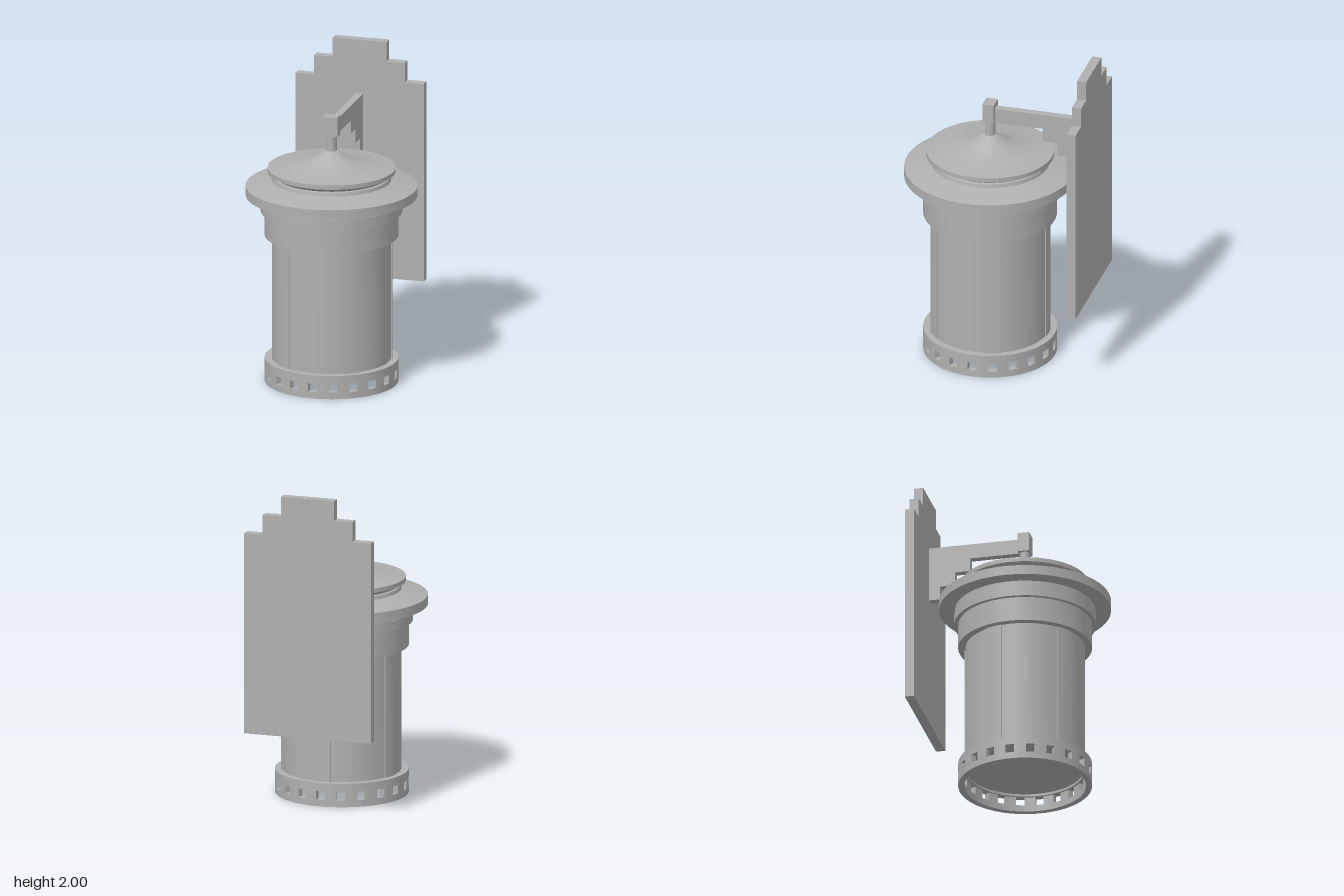
import * as THREE from 'three';
import { toCreasedNormals } from 'three/addons/utils/BufferGeometryUtils.js';

const AXIS_Z = 0.066; // lantern axis, in front of the wall plate
const SIDES = 64;
const rad = THREE.MathUtils.degToRad;

export function createModel() {
  const model = new THREE.Group();
  model.name = 'wallLantern';
  const metal = new THREE.MeshStandardMaterial({ color: 0xb0b0b0 });
  metal.name = 'greyMetal';

  const lantern = new THREE.Group();
  lantern.name = 'lantern';
  lantern.position.z = AXIS_Z;
  model.add(lantern);

  function add(name, geometry, parent = lantern) {
    const mesh = new THREE.Mesh(geometry, metal);
    mesh.name = name;
    parent.add(mesh);
    return mesh;
  }

  // Turned part: [radius, height] points, going up the outside
  function turned(name, points) {
    const profile = points.map(([r, y]) => new THREE.Vector2(r, y));
    return add(name, toCreasedNormals(new THREE.LatheGeometry(profile, SIDES), rad(25)));
  }

  // Closed ring with a rectangular section
  function ring(name, r0, r1, y0, y1) {
    return turned(name, [[r0, y0], [r1, y0], [r1, y1], [r0, y1], [r0, y0]]);
  }

  // Curved block centred on an azimuth measured from the front
  function curvedBlock(name, r0, r1, y0, y1, azimuth, halfAngle) {
    const a0 = rad(azimuth - halfAngle - 90);
    const a1 = rad(azimuth + halfAngle - 90);
    const shape = new THREE.Shape();
    shape.absarc(0, 0, r1, a0, a1, false);
    shape.absarc(0, 0, r0, a1, a0, true);
    const geometry = new THREE.ExtrudeGeometry(shape, { depth: y1 - y0, bevelEnabled: false, curveSegments: 4 });
    geometry.rotateX(-Math.PI / 2).translate(0, y0, 0);
    return add(name, toCreasedNormals(geometry, rad(25)));
  }

  // Outline extruded symmetrically about its own plane
  function slab(points, depth) {
    const shape = new THREE.Shape(points.map(([x, y]) => new THREE.Vector2(x, y)));
    return new THREE.ExtrudeGeometry(shape, { depth, bevelEnabled: false }).translate(0, 0, -depth / 2);
  }

  // Pierced base: two bands joined by posts, leaving twenty square openings
  ring('baseLowerBand', 0.373, 0.41, 0, 0.042);
  ring('baseUpperBand', 0.36, 0.41, 0.095, 0.148);
  for (let i = 0; i < 20; i++) {
    curvedBlock('basePost', 0.373, 0.41, 0.042, 0.095, i * 18 + 9, 5.1);
  }

  // Glass cylinder with its floor, and five vertical bars
  turned('glassCylinder', [[0, 0.11], [0.366, 0.11], [0.366, 0.95]]);
  for (let i = 0; i < 5; i++) {
    curvedBlock('verticalBar', 0.355, 0.373, 0.14, 0.94, 36 + i * 72, 8);
  }

  // Stepped collar below the roof
  turned('collar', [
    [0, 0.93], [0.41, 0.93], [0.41, 1.085], [0.435, 1.085],
    [0.435, 1.15], [0.43, 1.15], [0.43, 1.19],
  ]);

  // Wide brim and its neck
  turned('brim', [
    [0.42, 1.186], [0.527, 1.186], [0.527, 1.246], [0.365, 1.283],
    [0.36, 1.305], [0.33, 1.315], [0.33, 1.33],
  ]);

  // Upper cap sweeping up to the stem
  turned('cap', [
    [0.34, 1.305], [0.392, 1.335], [0.392, 1.362], [0.19, 1.382],
    [0.106, 1.425], [0.037, 1.47], [0, 1.47],
  ]);

  // Hanging stem and block
  const stem = new THREE.CylinderGeometry(0.032, 0.032, 0.11, 24);
  add('stem', stem).position.y = 1.515;
  const block = new THREE.BoxGeometry(0.094, 0.122, 0.072);
  add('hangingBlock', block).position.set(0, 1.628, 0);

  // Stepped arm, drawn with distance to the back along its x
  const arm = slab([
    [-0.04, 1.562], [0.274, 1.562], [0.274, 1.478], [0.369, 1.478], [0.369, 1.392],
    [0.464, 1.392], [0.464, 1.307], [0.54, 1.307], [0.54, 1.657], [-0.04, 1.657],
  ], 0.047);
  add('bracketArm', arm.rotateY(Math.PI / 2), model);

  // Wall plate with a stepped top, mirrored left to right
  const half = [[0.41, 0.488], [0.41, 1.752], [0.29, 1.752], [0.29, 1.876], [0.172, 1.876], [0.172, 2]];
  const mirrored = half.map(([x, y]) => [-x, y]).reverse();
  const plate = slab([...half, ...mirrored], 0.058);
  add('wallPlate', plate, model).position.z = -0.564;

  return model;
}
